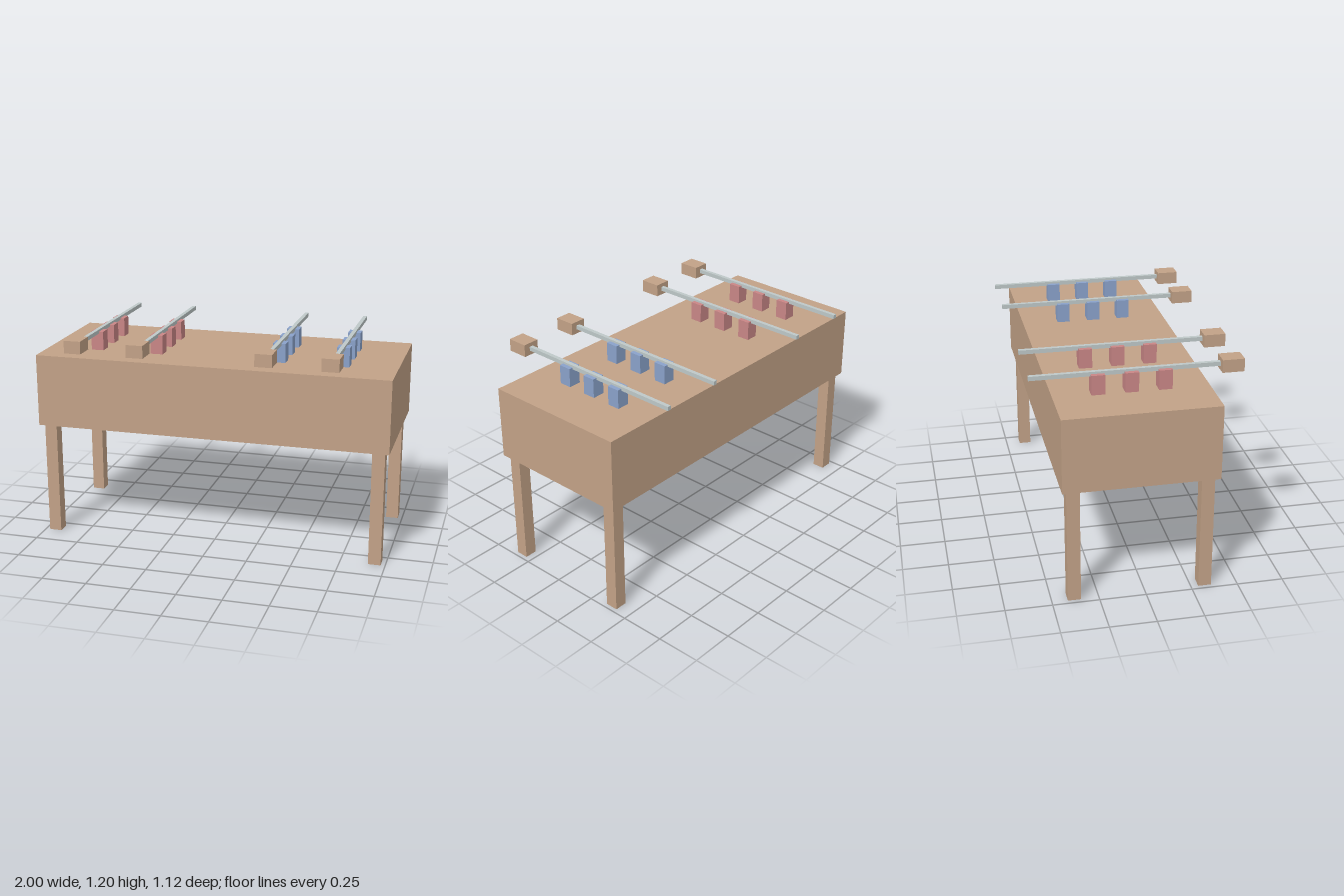
import * as THREE from 'three';

const material = (name, color) => {
  const m = new THREE.MeshStandardMaterial({ color });
  m.name = name;
  return m;
};

// Box given by its [min, max] range along each axis
function box(name, mat, [x0, x1], [y0, y1], [z0, z1]) {
  const mesh = new THREE.Mesh(new THREE.BoxGeometry(x1 - x0, y1 - y0, z1 - z0), mat);
  mesh.position.set((x0 + x1) / 2, (y0 + y1) / 2, (z0 + z1) / 2);
  mesh.name = name;
  return mesh;
}

const around = (c, size) => [c - size / 2, c + size / 2];

export function createModel() {
  const wood = material('wood', 0xc2a287);
  const steel = material('steel', 0xbec8c8);
  const red = material('red', 0xc98686);
  const blue = material('blue', 0x8aa2ca);

  const model = new THREE.Group();
  model.name = 'tableFootball';

  // Cabinet
  model.add(box('cabinet', wood, [-1, 1], [0.65, 1.06], [-0.44, 0.385]));

  // Four square legs, slightly inset from the corners
  for (const x of [-0.94, 0.94]) {
    for (const z of [-0.381, 0.325]) {
      model.add(box('leg', wood, around(x, 0.07), [0, 0.65], around(z, 0.07)));
    }
  }

  // Rods, each with a handle at the front and three players
  const rods = [[-0.708, red], [-0.355, red], [0.35, blue], [0.703, blue]];
  for (const [x, team] of rods) {
    const rod = new THREE.Group();
    rod.name = 'rodAssembly';
    rod.add(box('rod', steel, around(x, 0.022), [1.156, 1.179], [-0.557, 0.5]));
    rod.add(box('handle', wood, around(x, 0.094), [1.131, 1.201], [0.443, 0.56]));
    for (const z of [-0.204, -0.028, 0.148]) {
      rod.add(box('player', team, around(x, 0.071), [1.055, 1.167], around(z, 0.071)));
    }
    model.add(rod);
  }
  return model;
}
